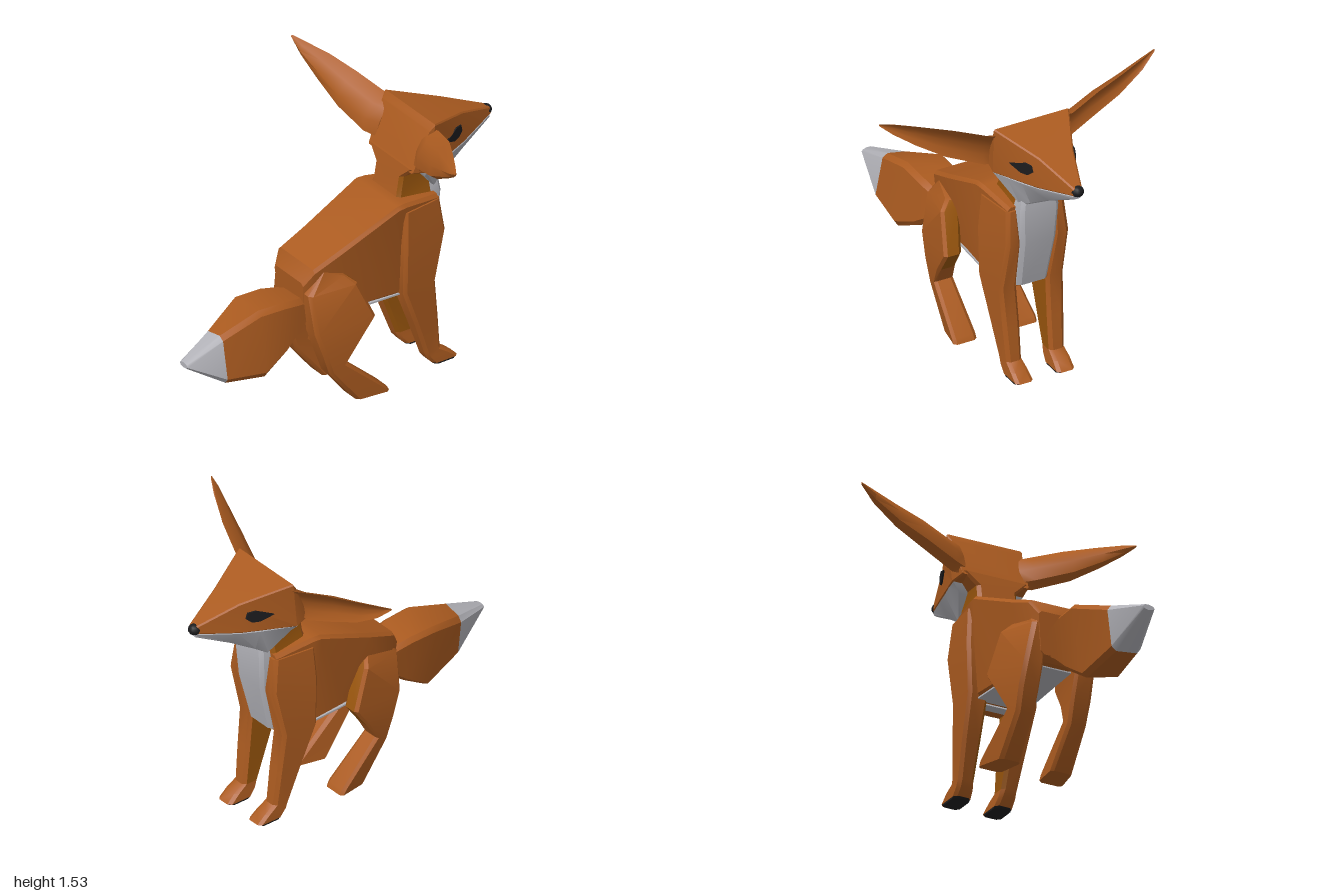
import * as THREE from 'three';
import { toCreasedNormals } from 'three/addons/utils/BufferGeometryUtils.js';

const mat = (name, color) => {
  const m = new THREE.MeshStandardMaterial({ color });
  m.name = name;
  return m;
};

// Cut each corner of a ring of points, so that lofted edges look softened
function bevel(ring, size) {
  const out = [];
  ring.forEach((p, i) => {
    const prev = ring[(i + ring.length - 1) % ring.length];
    const next = ring[(i + 1) % ring.length];
    for (const q of [prev, next]) {
      const a = new THREE.Vector3(...p), b = new THREE.Vector3(...q);
      const len = a.distanceTo(b) || 1;
      out.push(a.lerp(b, Math.min(size / len, 0.3)).toArray());
    }
  });
  return out;
}

// Closed solid through rings of equal point count; sideMat picks a material per side and row
function loft(name, rings, materials, { soft = 0.018, crease = 0.55, sideMat = () => 0 } = {}) {
  const rows = soft ? rings.map((r) => bevel(r, soft)) : rings;
  const n = rows[0].length, last = rows.length - 1;
  const pts = rows.flat();
  const faces = [];
  for (let i = 0; i < last; i++) {
    for (let j = 0; j < n; j++) {
      const a = i * n + j, b = i * n + ((j + 1) % n);
      const m = sideMat(soft ? Math.floor(j / 2) : j, i);
      faces.push([m, a, b, b + n], [m, a, b + n, a + n]);
    }
  }
  for (let j = 1; j < n - 1; j++) {
    faces.push([0, 0, j + 1, j], [0, last * n, last * n + j, last * n + j + 1]);
  }
  // Turn the faces outward whichever way the rings run
  let volume = 0;
  const V = (i) => new THREE.Vector3(...pts[i]);
  for (const [, a, b, c] of faces) volume += V(a).dot(V(b).cross(V(c)));
  const index = [];
  const geo = new THREE.BufferGeometry();
  geo.setAttribute('position', new THREE.Float32BufferAttribute(pts.flat(), 3));
  materials.forEach((_, m) => {
    const start = index.length;
    for (const [k, a, b, c] of faces) if (k === m) index.push(...(volume < 0 ? [a, c, b] : [a, b, c]));
    geo.addGroup(start, index.length - start, m);
  });
  geo.setIndex(index);
  const mesh = new THREE.Mesh(toCreasedNormals(geo, crease), materials);
  mesh.name = name;
  return mesh;
}

// Symmetric four-point ring: top half width, y, z, then the same for the bottom
const quad = (cx, [tw, ty, tz, bw, by, bz]) => [
  [cx - tw, ty, tz], [cx + tw, ty, tz], [cx + bw, by, bz], [cx - bw, by, bz],
];

export function createModel() {
  const fox = new THREE.Group();
  fox.name = 'fox';
  const orange = mat('orange fur', 0xab5b20);
  const brown = mat('dark orange fur', 0x95530c);
  const white = mat('pale fur', 0xb2b2b8);
  const black = mat('black', 0x1c1c1e);
  const bodyX = 0.04, headX = 0.03;
  const add = (...args) => fox.add(loft(...args));

  // Torso: rump to chest
  add('torso', [
    [0.125, 0.73, 0.27, 0.1, 0.5, 0.255],
    [0.158, 0.805, 0.22, 0.12, 0.475, 0.22],
    [0.168, 0.87, 0.06, 0.13, 0.48, -0.08],
    [0.195, 1.02, -0.28, 0.15, 0.48, -0.31],
    [0.19, 1.02, -0.33, 0.13, 0.48, -0.36],
    [0.16, 0.99, -0.55, 0.11, 0.49, -0.51],
  ].map((r) => quad(bodyX, r)), [orange]);

  // Belly and chest patches
  add('belly', [[0.115, 0.478, 0.18, 0.115, 0.469, 0.18], [0.13, 0.482, -0.06, 0.13, 0.473, -0.06],
    [0.145, 0.482, -0.34, 0.145, 0.473, -0.34]].map((r) => quad(bodyX, r)), [white], { soft: 0 });
  add('chest', [
    [0.095, 1.06, -0.6, 0.09, 1.06, -0.5],
    [0.11, 0.97, -0.61, 0.12, 0.97, -0.5],
    [0.1, 0.78, -0.597, 0.11, 0.78, -0.5],
    [0.085, 0.5, -0.53, 0.1, 0.47, -0.36],
  ].map((r) => quad(bodyX, r)), [white]);

  // Neck, widening under the skull
  add('neck', [
    [0.13, 0.97, -0.32, 0.13, 0.97, -0.55],
    [0.115, 1.04, -0.34, 0.11, 1.04, -0.55],
    [0.115, 1.13, -0.355, 0.11, 1.13, -0.53],
    [0.19, 1.2, -0.37, 0.17, 1.2, -0.5],
  ].map((r) => quad(headX, r)), [orange, brown], { sideMat: (j, row) => (j % 2 && row < 2 ? 1 : 0) });

  // Head: orange wedge above, pale jaw below
  add('skull', [
    [0.205, 1.41, -0.47, 0.19, 1.18, -0.372],
    [0.218, 1.443, -0.495, 0.205, 1.165, -0.46],
    [0.1, 1.372, -0.75, 0.113, 1.2, -0.75],
    [0.024, 1.288, -0.975, 0.029, 1.245, -0.975],
  ].map((r) => quad(headX, r)), [orange], { soft: 0.007 });
  add('jaw', [
    [0.205, 1.17, -0.452, 0.16, 1.12, -0.47],
    [0.177, 1.182, -0.55, 0.105, 1.0, -0.57],
    [0.145, 1.19, -0.65, 0.08, 1.035, -0.63],
    [0.11, 1.205, -0.76, 0.058, 1.12, -0.77],
    [0.029, 1.249, -0.973, 0.022, 1.222, -0.97],
  ].map((r) => quad(headX, r)), [white], { soft: 0.007 });

  const nose = new THREE.Mesh(new THREE.SphereGeometry(0.034, 12, 8), black);
  nose.name = 'nose';
  nose.scale.set(1, 0.9, 1);
  nose.position.set(0.027, 1.264, -0.966);
  fox.add(nose);

  // Eyes: thin almond plates with a lash, following the slope of the cheeks
  const almond = [[-0.59, 1.288], [-0.645, 1.3], [-0.68, 1.325], [-0.72, 1.32], [-0.728, 1.285],
    [-0.7, 1.26], [-0.66, 1.258], [-0.635, 1.28]];
  // Ears: cupped leaf sections as x, bottom, top, z, depth, tilted back at the bottom
  const cup = [[1, -0.5], [0.65, 0.55], [0, 1], [-0.65, 0.55], [-1, -0.5], [-0.5, 0.1], [0, 0.35], [0.5, 0.1]];
  const earRows = {
    left: [[0.19, 1.18, 1.4, -0.438, 0.02], [0.26, 1.2, 1.41, -0.432, 0.06], [0.45, 1.27, 1.465, -0.37, 0.055],
      [0.6, 1.36, 1.487, -0.315, 0.04], [0.71, 1.435, 1.498, -0.27, 0.024], [0.77, 1.485, 1.498, -0.245, 0.006]],
    right: [[-0.13, 1.19, 1.41, -0.438, 0.02], [-0.2, 1.2, 1.415, -0.432, 0.06], [-0.38, 1.27, 1.465, -0.395, 0.055],
      [-0.55, 1.352, 1.5, -0.375, 0.04], [-0.69, 1.445, 1.522, -0.35, 0.024], [-0.77, 1.522, 1.535, -0.335, 0.006]],
  };
  // Front legs: y, front z, back z, inner, front outer and back outer offset
  const frontLegRows = [
    [0.97, -0.56, -0.32, 0.1, 0.165, 0.195], [0.78, -0.585, -0.31, 0.095, 0.18, 0.208],
    [0.5, -0.52, -0.31, 0.085, 0.185, 0.2], [0.28, -0.545, -0.395, 0.08, 0.175, 0.185],
    [0.085, -0.565, -0.465, 0.08, 0.165, 0.17], [0.05, -0.62, -0.48, 0.075, 0.17, 0.17],
    [0.009, -0.668, -0.515, 0.07, 0.17, 0.17],
  ];
  // Hind legs: front z, y, inner, outer, then the same for the back edge
  const hindLegRows = [
    [0.04, 0.73, 0.1, 0.17, 0.18, 0.785, 0.09, 0.14], [0.0, 0.695, 0.11, 0.22, 0.262, 0.67, 0.08, 0.16],
    [-0.09, 0.485, 0.15, 0.25, 0.25, 0.46, 0.09, 0.2], [0.0, 0.36, 0.135, 0.24, 0.205, 0.33, 0.09, 0.205],
    [0.07, 0.25, 0.11, 0.22, 0.16, 0.2, 0.095, 0.2], [-0.165, 0.04, 0.11, 0.245, 0.01, 0.01, 0.085, 0.205],
    [-0.18, 0.013, 0.11, 0.245, 0.0, 0.0, 0.085, 0.205],
  ];

  for (const [side, s] of [['left', 1], ['right', -1]]) {
    const cheek = (z) => 0.113 + (z + 0.75) * 0.41;
    add(`${side}Eye`, [-0.003, 0.006].map((d) =>
      almond.map(([z, y]) => [headX + s * (cheek(z) + d), y, z])), [black], { soft: 0 });

    add(`${side}Ear`, earRows[side].map(([x, lo, hi, z, d]) => {
      const h = (hi - lo) / 2;
      return cup.map(([u, v]) => [x, lo + h + u * h, z + v * d - u * h * h * 4]);
    }), [orange], { soft: 0, crease: 0.9 });

    add(`${side}FrontLeg`, frontLegRows.map(([y, zf, zb, xi, xf, xb]) => [
      [bodyX + s * xi, y, zf], [bodyX + s * xf, y, zf], [bodyX + s * xb, y, zb], [bodyX + s * xi, y, zb],
    ]), [orange, brown], { sideMat: (j, row) => (j === 3 && row < 4 ? 1 : 0) });

    add(`${side}FrontPaw`, [[0.009, -0.667, -0.515], [0.0, -0.655, -0.525]].map(([y, zf, zb]) => [
      [bodyX + s * 0.072, y, zf], [bodyX + s * 0.168, y, zf], [bodyX + s * 0.168, y, zb], [bodyX + s * 0.072, y, zb],
    ]), [black]);

    const hipX = 0.055;
    add(`${side}HindLeg`, hindLegRows.map(([zf, yf, fi, fo, zb, yb, bi, bo]) => [
      [hipX + s * fi, yf, zf], [hipX + s * fo, yf, zf], [hipX + s * bo, yb, zb], [hipX + s * bi, yb, zb],
    ]), [orange, brown], { sideMat: (j, row) => (j === 0 && row < 3 ? 1 : 0) });
  }

  // Tail: twisted brush with a pale tip
  const tail = [
    [0.22, -0.02, 0.61, 0.14, 0.62, 0.16, 0.5, 0.0, 0.49],
    [0.3, -0.045, 0.635, 0.17, 0.645, 0.19, 0.46, 0.0, 0.44],
    [0.4, -0.055, 0.655, 0.185, 0.665, 0.215, 0.39, 0.0, 0.36],
    [0.55, -0.057, 0.658, 0.187, 0.674, 0.243, 0.32, 0.015, 0.262],
    [0.78, 0.025, 0.575, 0.175, 0.605, 0.225, 0.35, 0.055, 0.33],
    [1.0, 0.108, 0.515, 0.165, 0.518, 0.184, 0.493, 0.122, 0.485],
  ].map(([z, ...p]) => [0, 2, 4, 6].map((i) => [p[i], p[i + 1], z]));
  add('tail', tail.slice(0, 5), [orange], { soft: 0.025 });
  add('tailTip', tail.slice(4), [white], { soft: 0.025 });

  return fox;
}
